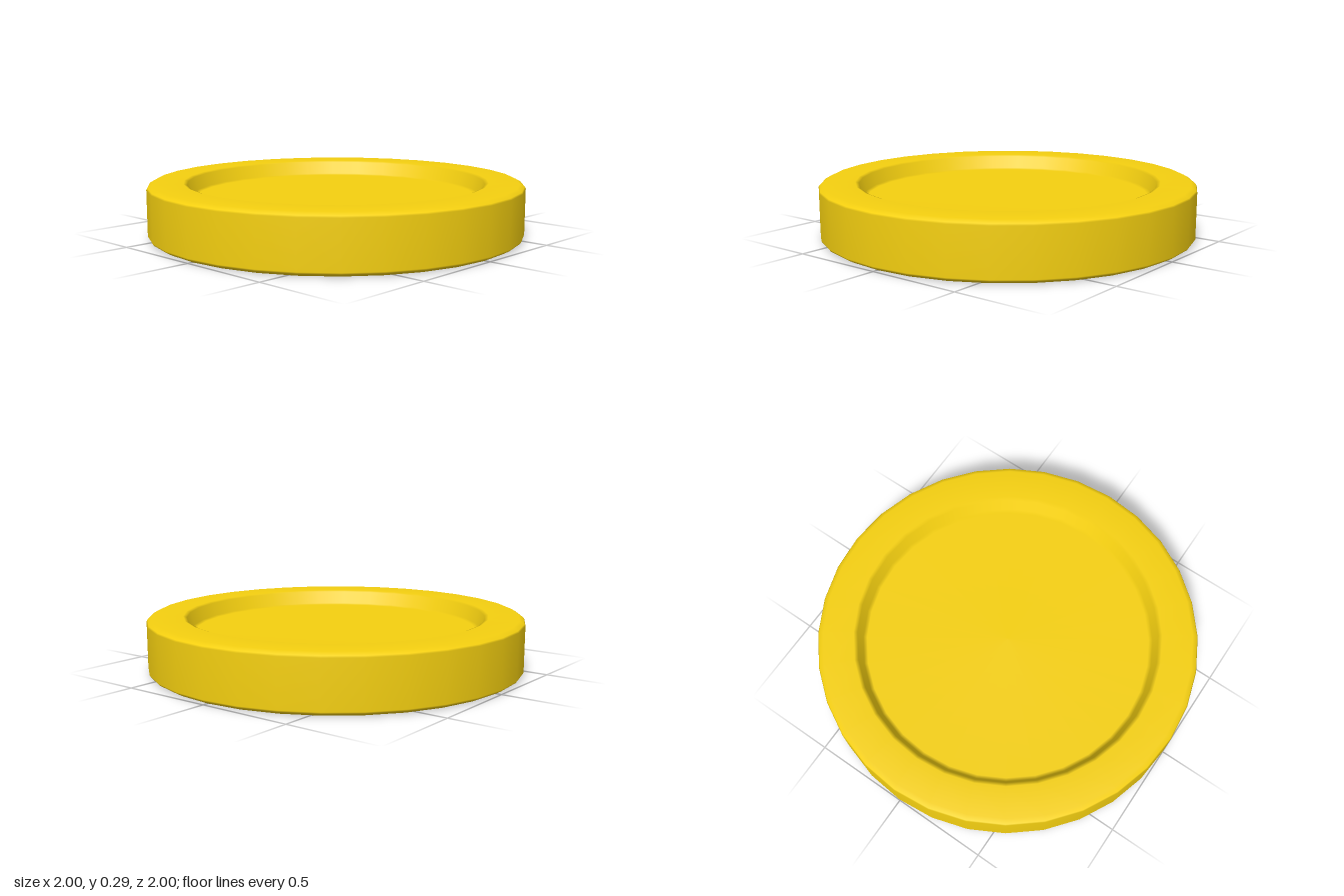
import * as THREE from 'three';

// Thick coin: bevelled outer edge, raised rim and a sunken face on both sides
export function createModel() {
  const group = new THREE.Group();
  const height = 0.29;
  const mid = height / 2;

  // Upper half of the profile, as radius and height above the middle plane
  const upper = [
    [1, 0.122], [0.995, 0.131], [0.97, 0.145], // outer wall and bevel
    [0.81, 0.145], [0.79, 0.138], // rim and its inner lip
    [0.77, 0.07], [0.75, 0.063], [0, 0.063], // recess wall and floor
  ];
  const lower = upper.map(([r, y]) => [r, -y]).reverse();
  const profile = [...lower, ...upper].map(([r, y]) => new THREE.Vector2(r, mid + y));

  const coin = new THREE.Mesh(
    new THREE.LatheGeometry(profile, 32),
    new THREE.MeshStandardMaterial({ color: 0xf5d010 })
  );
  coin.name = 'coin';
  group.add(coin);
  return group;
}
